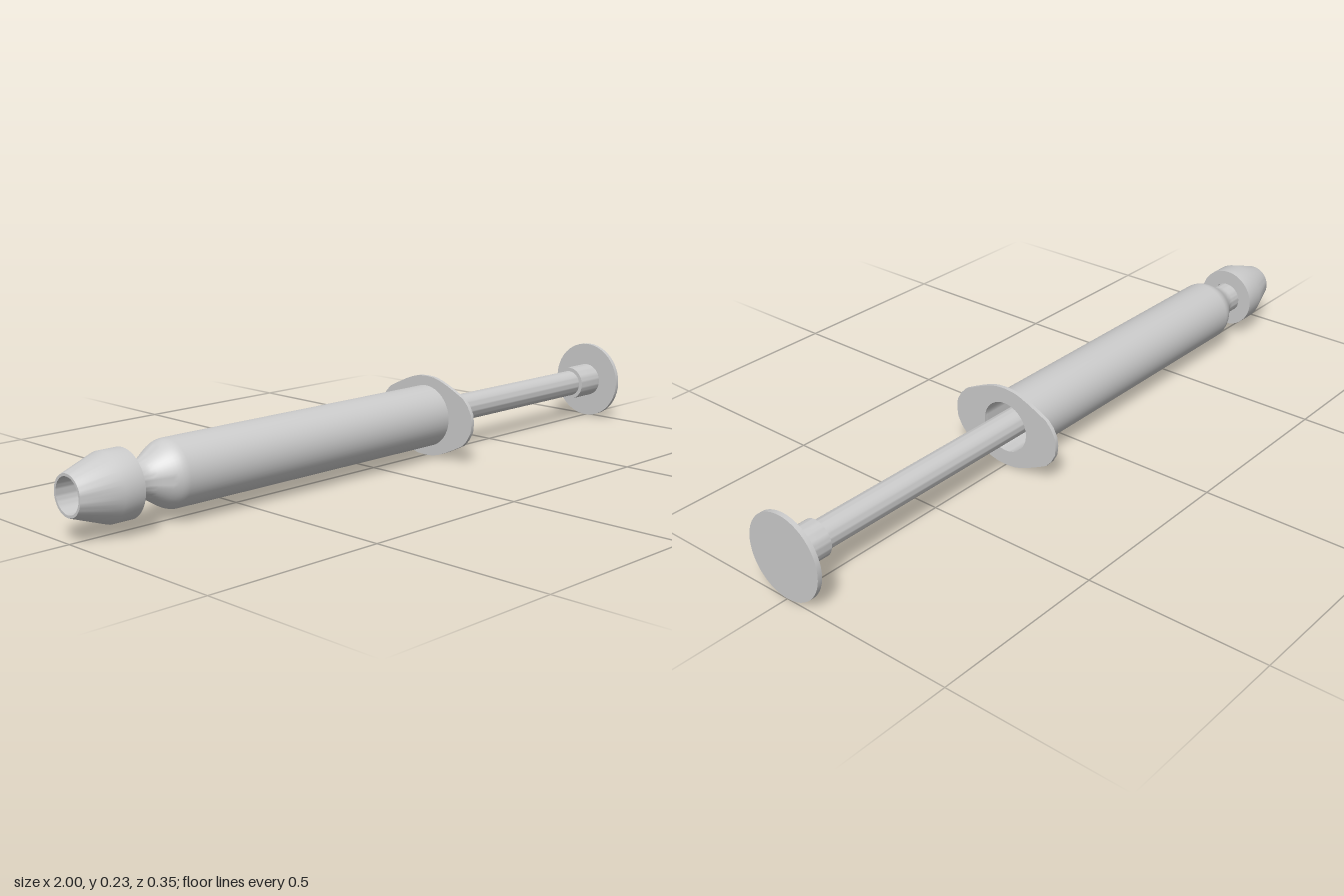
import * as THREE from 'three';
import { toCreasedNormals } from 'three/addons/utils/BufferGeometryUtils.js';

const AXIS_Y = 0.118;
const material = new THREE.MeshStandardMaterial({ color: 0xcccccc, side: THREE.DoubleSide });

// Turned part along the x axis from [x, radius] pairs; outside runs toward +x
function turned(name, profile) {
  const points = profile.map(([x, r]) => new THREE.Vector2(r, x));
  const geometry = new THREE.LatheGeometry(points, 48);
  geometry.rotateZ(-Math.PI / 2);
  const mesh = new THREE.Mesh(toCreasedNormals(geometry, 0.5), material);
  mesh.name = name;
  return mesh;
}

// Oval finger flange with a round opening for the plunger
function fingerFlange() {
  const quarter = [
    [0.173, 0], [0.17, 0.026], [0.157, 0.05], [0.14, 0.068], [0.116, 0.08],
    [0.082, 0.096], [0.052, 0.108], [0.029, 0.114], [0, 0.116],
  ];
  const half = [...quarter, ...quarter.slice(0, -1).reverse().map(([z, y]) => [-z, y])];
  const outline = [...half, ...half.slice(1, -1).reverse().map(([z, y]) => [z, -y])];
  const shape = new THREE.Shape(outline.map(([z, y]) => new THREE.Vector2(z, y)));
  shape.holes.push(new THREE.Path().absarc(0, 0, 0.072, 0, Math.PI * 2, true));
  const geometry = new THREE.ExtrudeGeometry(shape, { depth: 0.011, bevelEnabled: false, curveSegments: 24 });
  geometry.rotateY(Math.PI / 2);
  geometry.translate(0.213, 0, 0);
  const mesh = new THREE.Mesh(toCreasedNormals(geometry, 0.6), material);
  mesh.name = 'fingerFlange';
  return mesh;
}

export function createModel() {
  const group = new THREE.Group();
  group.name = 'syringe';

  // Shoulder easing from the narrow neck to the full barrel
  const shoulder = [];
  for (let i = 0; i <= 10; i++) {
    const t = i / 10;
    shoulder.push([-0.81 + 0.1 * t, 0.045 + 0.043 * t * t * (3 - 2 * t)]);
  }
  const bore = shoulder.map(([x, r]) => [x, r - 0.014]).reverse();

  // Hollow barrel with its nozzle
  group.add(turned('barrel', [
    [-0.88, 0.031], [-0.88, 0.045], ...shoulder, [0.214, 0.088],
    [0.214, 0.072], ...bore, [-0.88, 0.031],
  ]));

  // Tapered tip, open at the end
  group.add(turned('tipCap', [
    [-1, 0.046], [-1, 0.053], [-0.9, 0.088], [-0.843, 0.088],
    [-0.843, 0.046], [-1, 0.046],
  ]));

  group.add(fingerFlange());

  // Plunger: piston, rod, collar and thumb disc
  group.add(turned('piston', [[-0.69, 0], [-0.69, 0.071], [-0.62, 0.071], [-0.62, 0]]));
  group.add(turned('plungerRod', [[-0.63, 0], [-0.63, 0.039], [0.9, 0.039], [0.9, 0]]));
  group.add(turned('plungerCollar', [[0.895, 0], [0.895, 0.05], [0.988, 0.05], [0.988, 0]]));
  group.add(turned('thumbDisc', [[0.987, 0], [0.987, 0.116], [1, 0.116], [1, 0]]));

  for (const part of group.children) part.position.y = AXIS_Y;
  return group;
}
